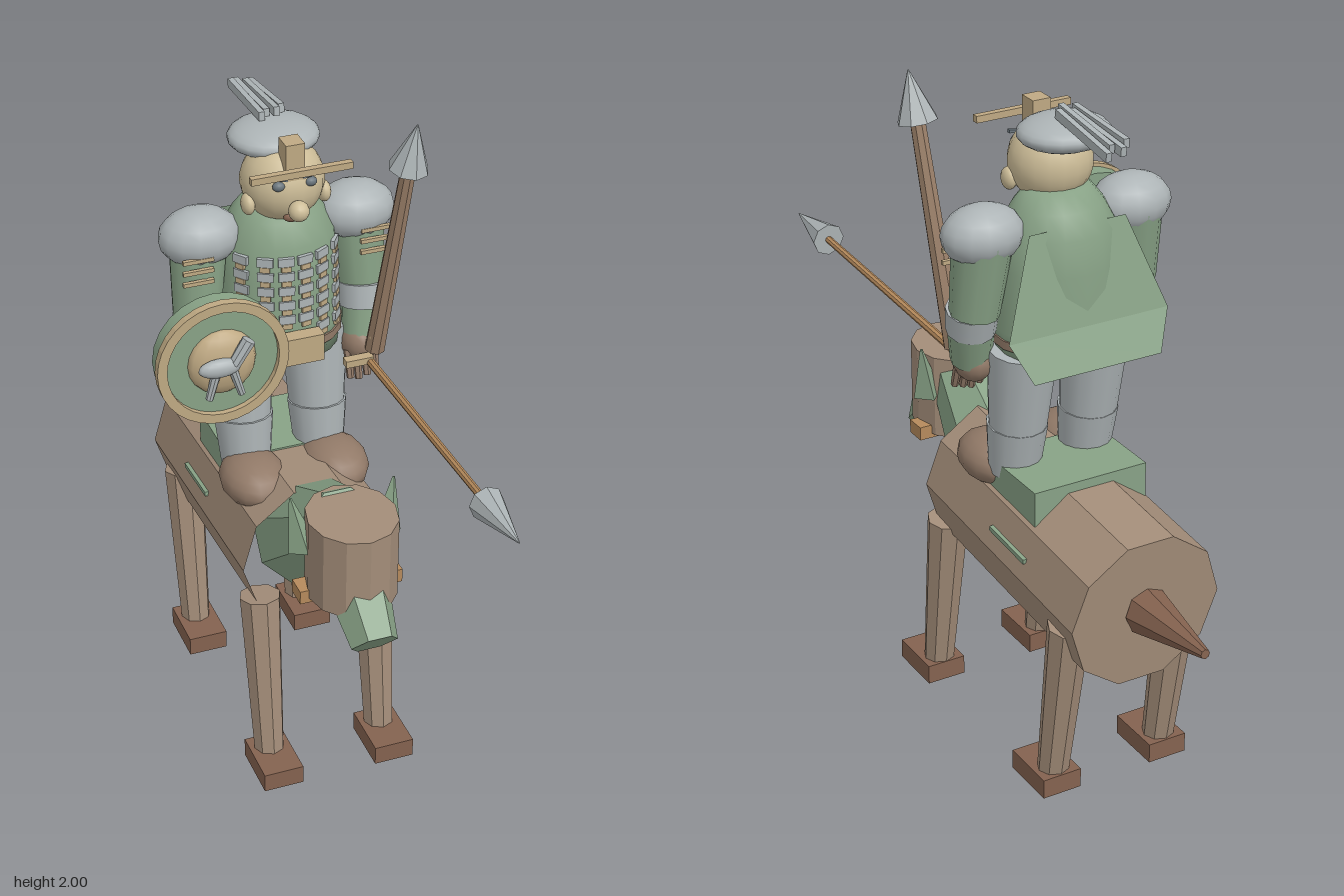
import * as THREE from 'three';

const mat = (name, color) => Object.assign(new THREE.MeshStandardMaterial({ color }), { name });
const M = {
  hide: mat('hide brown', 0xa38d79), hoof: mat('dark brown', 0x84624f), green: mat('sage green', 0x88a286),
  steel: mat('steel grey', 0xadb4b6), skin: mat('pale tan', 0xcdbd98), gold: mat('dull gold', 0xbfa983),
  leather: mat('leather brown', 0x927a68), strap: mat('strap orange', 0xb58a5c), wood: mat('shaft brown', 0x9b8069),
  dark: mat('eye grey', 0x6a757c),
};
const V = (x, y, z) => new THREE.Vector3(x, y, z);
const UP = V(0, 1, 0);
const CX = 0.058; // rider and horse sit slightly to the left of centre

function flat(g) {
  const f = g.index ? g.toNonIndexed() : g;
  f.computeVertexNormals();
  return f;
}

export function createModel() {
  const root = new THREE.Group();
  const body = new THREE.Group();
  body.name = 'horseAndRider';
  body.position.x = CX;
  root.add(body);

  const add = (name, geo, material, pos = [0, 0, 0], parent = body) => {
    const m = new THREE.Mesh(geo, material);
    m.name = name;
    m.position.set(...pos);
    parent.add(m);
    return m;
  };
  const box = (name, material, size, pos, parent) => add(name, new THREE.BoxGeometry(...size), material, pos, parent);
  const ball = (name, material, r, pos, parent, n = 14) =>
    add(name, new THREE.SphereGeometry(1, n, Math.round(n * 0.7)).scale(...r), material, pos, parent);
  // Tapered rod from a to b
  const rod = (name, material, a, b, ra, rb, { n = 8, smooth = false, open = false, spin = 0, parent = body } = {}) => {
    const A = V(...a), B = V(...b);
    let g = new THREE.CylinderGeometry(rb, ra, A.distanceTo(B), n, 1, open).rotateY(spin);
    if (!smooth) g = flat(g);
    const m = add(name, g, material, A.clone().add(B).multiplyScalar(0.5).toArray(), parent);
    m.quaternion.setFromUnitVectors(UP, B.sub(A).normalize());
    return m;
  };

  // --- Horse barrel: open in front, closed behind
  const front = [0, 0.692, 0.148], rear = [0, 0.623, -0.682];
  rod('barrel', M.hide, front, rear, 0.235, 0.235, { n: 10, open: true, spin: Math.PI / 10 });
  const cap = add('barrelRear', new THREE.CircleGeometry(0.235, 10), M.hide, rear);
  cap.quaternion.setFromUnitVectors(V(0, 0, 1), V(0, rear[1] - front[1], rear[2] - front[2]).normalize());
  rod('tail', M.hoof, [0, 0.628, -0.69], [0, 0.645, -0.975], 0.07, 0.014);

  // Neck, head and muzzle
  rod('horseNeck', M.green, [0, 0.716, 0.053], [0, 0.93, 0.338], 0.172, 0.105, { spin: Math.PI / 8 });
  const head = rod('horseHead', M.hide, [0, 0.745, 0.39], [0, 1.0, 0.39], 0.13, 0.13, { n: 12 });
  head.scale.z = 1.12;
  rod('muzzle', M.green, [0, 0.825, 0.395], [0, 0.678, 0.574], 0.1, 0.07, { n: 6, spin: Math.PI / 6 });
  box('bridle', M.strap, [0.31, 0.042, 0.065], [0, 0.752, 0.365]);

  // Saddle
  box('saddle', M.green, [0.36, 0.105, 0.27], [0, 0.847, -0.255]);

  for (const s of [1, -1]) {
    rod('horseEar', M.green, [s * 0.125, 0.88, 0.34], [s * 0.155, 1.04, 0.315], 0.045, 0.004, { n: 4 });
    box('saddleSlit', M.green, [0.012, 0.014, 0.19], [s * 0.221, 0.712, -0.31]).rotation.x = -0.083;
    // Horse legs and hooves
    for (const [foot, top, hoof] of [[0.2, 0.125, 0.24], [-0.485, -0.57, -0.45]]) {
      rod('horseLeg', M.hide, [s * 0.177, 0.05, foot], [s * 0.177, 0.575, top], 0.046, 0.062);
      box('hoof', M.hoof, [0.122, 0.06, 0.178], [s * 0.177, 0.03, hoof]);
    }

    // Rider's legs and boots
    ball('boot', M.leather, [0.1, 0.073, 0.13], [s * 0.125, 0.857, -0.065]);
    rod('greave', M.steel, [s * 0.115, 0.86, -0.16], [s * 0.115, 1.015, -0.18], 0.074, 0.088, { n: 14, smooth: true });
    rod('thigh', M.steel, [s * 0.115, 0.99, -0.18], [s * 0.115, 1.26, -0.212], 0.082, 0.1, { n: 14, smooth: true });

    // Arms
    ball('shoulderGuard', M.steel, [0.12, 0.085, 0.096], [s * 0.232, 1.615, -0.203]);
    rod('upperArm', M.green, [s * 0.25, 1.38, -0.185], [s * 0.235, 1.61, -0.21], 0.07, 0.085, { n: 12, smooth: true });
    rod('bracer', M.steel, [s * 0.247, 1.32, -0.158], [s * 0.251, 1.39, -0.175], 0.07, 0.074, { n: 12, smooth: true });
    rod('foreArm', M.green, [s * 0.235, 1.22, -0.135], [s * 0.25, 1.34, -0.165], 0.058, 0.067, { n: 12, smooth: true });
    ball('hand', M.leather, [0.057, 0.062, 0.066], [s * 0.228, 1.215, -0.135]);
    for (let i = 0; i < 4; i++) {
      const x = s * (0.185 + i * 0.026);
      rod('finger', M.leather, [x, 1.11 + 0.008 * Math.abs(i - 1), -0.09], [x, 1.2, -0.115], 0.011, 0.014, { n: 6 });
    }
    for (let i = 0; i < 3; i++)
      box('armStrip', M.gold, [0.09, 0.012, 0.012], [s * 0.265, 1.585 - i * 0.035, -0.118]);

    // Face
    ball('ear', M.skin, [0.02, 0.032, 0.03], [s * 0.112, 1.727, -0.135]);
    ball('eye', M.dark, [0.018, 0.014, 0.014], [s * 0.047, 1.803, -0.066]);
    box('brow', M.dark, [0.05, 0.009, 0.012], [s * 0.047, 1.826, -0.064]).rotation.z = s * 0.15;
  }

  // Torso
  const profile = [[0.001, 1.235], [0.182, 1.235], [0.186, 1.32], [0.178, 1.5], [0.165, 1.6], [0.13, 1.665], [0.09, 1.715], [0.001, 1.715]];
  const torso = add('tunic', new THREE.LatheGeometry(profile.map((p) => new THREE.Vector2(...p)), 18), M.green, [0, 0, -0.205]);
  torso.scale.z = 0.88;
  const belt = rod('belt', M.leather, [0, 1.275, -0.205], [0, 1.3, -0.205], 0.19, 0.19, { n: 18, smooth: true });
  belt.scale.z = 0.89;
  box('buckle', M.gold, [0.13, 0.085, 0.045], [0, 1.305, -0.018]);

  // Rows of armour scales wrapped over the chest
  for (let r = 0; r < 6; r++)
    for (let c = 0; c < 6; c++) {
      const x = (c - 2.5) * 0.056, y = 1.56 - r * 0.045;
      if (r === 5 && Math.abs(x) < 0.08) continue;
      const radius = 0.185 - Math.max(0, y - 1.32) * 0.06;
      const a = Math.asin(x / radius);
      const plate = new THREE.Group();
      plate.name = 'scale';
      plate.position.set(x, y, -0.205 + 0.88 * radius * Math.cos(a));
      plate.rotation.y = a;
      body.add(plate);
      box('scalePlate', M.steel, [0.046, 0.026, 0.012], [0, 0.006, 0], plate);
      box('scaleStud', M.gold, [0.028, 0.016, 0.012], [0, -0.015, 0.002], plate);
    }

  // Cape: a thin sheet hanging away from the back
  const cape = new THREE.BufferGeometry();
  const w = [[0.15, 1.63, -0.31], [0.25, 1.36, -0.375], [0.2, 1.25, -0.425]];
  cape.setAttribute('position', new THREE.Float32BufferAttribute(w.flatMap(([x, y, z]) => [-x, y, z, x, y, z]), 3));
  cape.setIndex([0, 1, 2, 1, 3, 2, 2, 3, 4, 3, 5, 4]);
  const capeCloth = mat('cape green', 0x88a286);
  capeCloth.side = THREE.DoubleSide;
  add('cape', flat(cape), capeCloth);

  // Head
  ball('head', M.skin, [0.12, 0.118, 0.115], [0, 1.773, -0.165], body, 18);
  ball('nose', M.skin, [0.03, 0.03, 0.03], [0, 1.735, -0.033]);
  ball('mouth', M.hoof, [0.03, 0.016, 0.015], [0, 1.698, -0.075]);

  // Helmet with raised visor bar and plume
  ball('helmet', M.steel, [0.132, 0.047, 0.12], [0, 1.873, -0.235], body, 18);
  box('helmetCrest', M.gold, [0.055, 0.11, 0.06], [0, 1.87, -0.09]);
  box('visorBar', M.gold, [0.295, 0.02, 0.02], [0, 1.863, -0.015]);
  for (let i = 0; i < 4; i++)
    box('plume', M.steel, [0.017, 0.026, 0.26], [(i - 1.5) * 0.022, 1.925 - (i % 2) * 0.008, -0.365 - (i % 2) * 0.022])
      .rotation.x = -0.06 - i * 0.03;

  // --- Shield on the right side
  const shield = new THREE.Group();
  shield.name = 'shield';
  shield.position.set(-0.227, 1.41, 0);
  root.add(shield);
  const P = { n: 24, smooth: true, parent: shield };
  rod('shieldDisc', M.green, [0, 0, 0.068], [0, 0, 0.13], 0.18, 0.18, P);
  const ring = new THREE.Shape().absarc(0, 0, 0.19, 0, Math.PI * 2);
  ring.holes.push(new THREE.Path().absarc(0, 0, 0.162, 0, Math.PI * 2, true));
  add('shieldRim', new THREE.ExtrudeGeometry(ring, { depth: 0.025, bevelEnabled: false, curveSegments: 16 }), M.gold, [0, 0, 0.122], shield);
  ball('shieldBoss', M.gold, [0.1, 0.1, 0.045], [0, 0, 0.128], shield);
  // Raised ornament on the boss
  const Q = { n: 8, parent: shield };
  ball('ornamentBody', M.steel, [0.062, 0.028, 0.022], [-0.022, 0.01, 0.178], shield);
  rod('ornamentArm', M.steel, [0.02, 0.015, 0.178], [0.062, 0.082, 0.178], 0.018, 0.02, Q);
  for (const [x0, x1] of [[-0.03, -0.052], [0.015, 0.042]])
    rod('ornamentLeg', M.steel, [x0, 0, 0.175], [x1, -0.088, 0.172], 0.014, 0.011, Q);

  // --- Spears in the left hand
  const R = { parent: root };
  rod('uprightShaft', M.wood, [0.303, 1.225, -0.058], [0.342, 1.87, 0.06], 0.03, 0.022, R);
  rod('uprightSpearhead', M.steel, [0.341, 1.86, 0.058], [0.355, 2.0, 0.08], 0.058, 0.002, R);
  ball('uprightButt', M.gold, [0.022, 0.025, 0.022], [0.3, 1.275, -0.048], root);
  rod('levelledShaft', M.strap, [0.283, 1.19, -0.1], [0.283, 1.237, 0.78], 0.013, 0.011, R);
  rod('levelledSpearhead', M.steel, [0.283, 1.236, 0.77], [0.283, 1.247, 0.975], 0.05, 0.002, R);
  box('handGuard', M.gold, [0.085, 0.022, 0.03], [0.25, 1.2, -0.05], root);

  return root;
}
